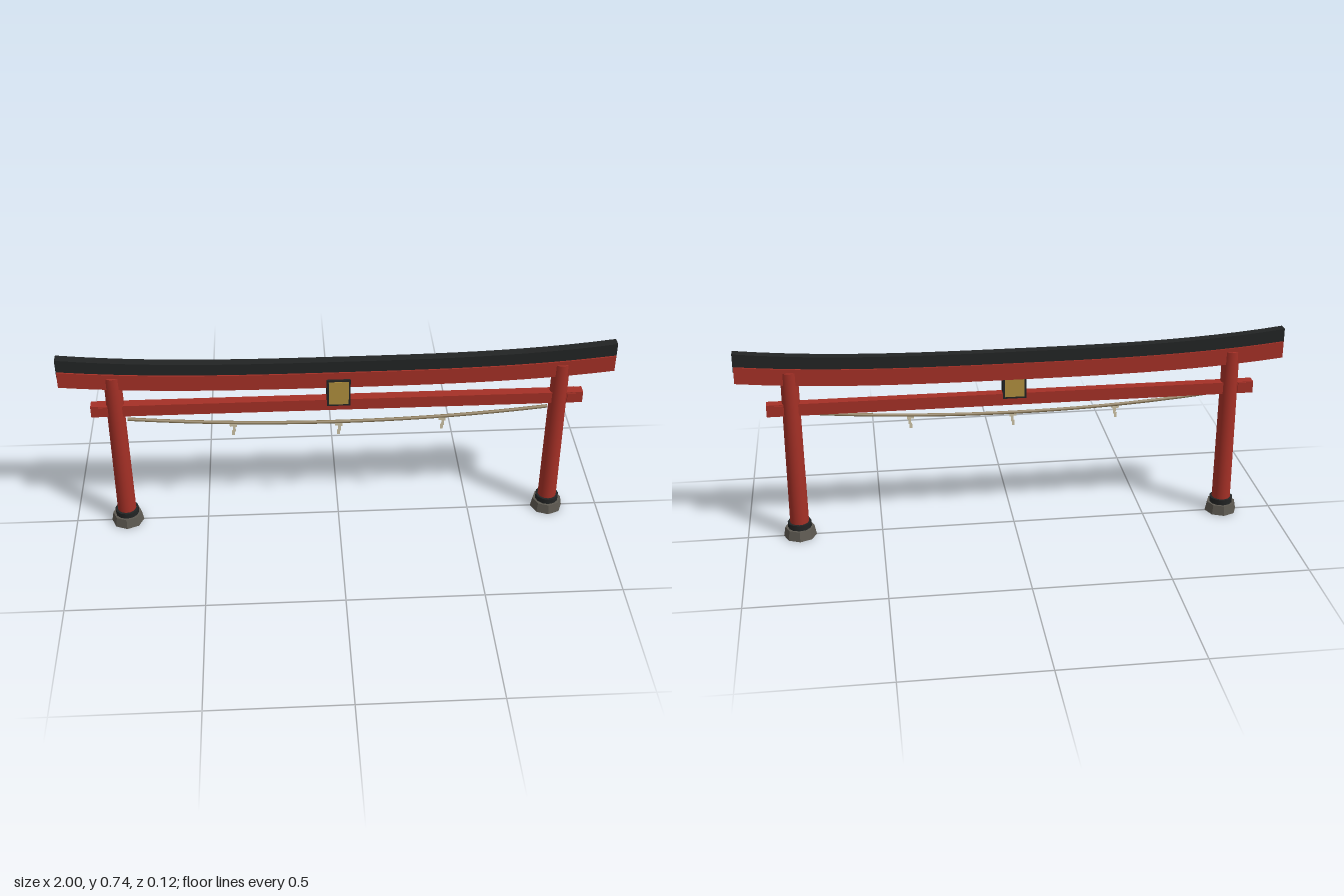
import * as THREE from 'three';

const mat = (name, color, opts = {}) => {
  const m = new THREE.MeshStandardMaterial({ color, ...opts });
  m.name = name;
  return m;
};

export function createModel() {
  const red = mat('vermilion', 0xa53026);
  const black = mat('black', 0x222424);
  const stone = mat('stone', 0x5c5850);
  const stoneFlat = stone;
  stoneFlat.flatShading = true;
  const gold = mat('gold', 0xb08f3e);
  const straw = mat('straw', 0x8c7a58);
  const paper = mat('paper', 0xcfc5a8);

  const gate = new THREE.Group();
  gate.name = 'gate';

  const add = (name, geometry, material, x = 0, y = 0, z = 0, parent = gate) => {
    const mesh = new THREE.Mesh(geometry, material);
    mesh.name = name;
    mesh.position.set(x, y, z);
    parent.add(mesh);
    return mesh;
  };

  // Beam whose ends sweep upwards
  const sweptBeam = (length, bottom, height, depth, rise) => {
    const g = new THREE.BoxGeometry(length, height, depth, 24, 1, 1);
    const p = g.attributes.position;
    for (let i = 0; i < p.count; i++) {
      const t = Math.abs(p.getX(i));
      p.setY(i, p.getY(i) + bottom + height / 2 + rise * t ** 3);
    }
    g.computeVertexNormals();
    return g;
  };
  add('topBeam', sweptBeam(2, 0.63, 0.07, 0.035, 0.04), black);
  add('underBeam', sweptBeam(1.996, 0.594, 0.062, 0.046, 0.036), red);

  // Pillars with footing, collar and wedges
  for (const [side, s] of [['left', 1], ['right', -1]]) {
    const pillar = new THREE.Group();
    pillar.name = side + 'Pillar';
    pillar.position.x = s * 0.807;
    gate.add(pillar);
    add('footing', new THREE.CylinderGeometry(0.054, 0.061, 0.037, 8), stone, 0, 0.0185, 0, pillar);
    add('collar', new THREE.CylinderGeometry(0.044, 0.044, 0.022, 12), black, 0, 0.047, 0, pillar);
    add('post', new THREE.CylinderGeometry(0.0315, 0.035, 0.605, 16), red, 0, 0.3575, 0, pillar);
    add('wedge', new THREE.BoxGeometry(0.03, 0.036, 0.047), red, s * 0.045, 0.518, 0, pillar);
  }

  // Straight tie beam through the pillars
  add('tieBeam', new THREE.BoxGeometry(1.79, 0.045, 0.037), red, 0, 0.516, 0);

  // Central plaque, panel showing on both faces
  add('plaqueFrame', new THREE.BoxGeometry(0.086, 0.11, 0.05), black, 0, 0.574, 0.005);
  add('plaquePanel', new THREE.BoxGeometry(0.072, 0.096, 0.053), gold, 0, 0.574, 0.005);

  // Sagging rope along the front
  const ropeZ = 0.024;
  const ropeY = x => 0.445 + 0.04 * (x / 0.765) ** 2;
  const ropePoints = [];
  for (let i = -6; i <= 6; i++) {
    const x = (i / 6) * 0.765;
    ropePoints.push(new THREE.Vector3(x, ropeY(x), ropeZ));
  }
  const curve = new THREE.CatmullRomCurve3(ropePoints);
  add('rope', new THREE.TubeGeometry(curve, 36, 0.0065, 8), straw);
  for (const s of [1, -1]) {
    const cap = add('ropeEnd', new THREE.CircleGeometry(0.0065, 8), straw, s * 0.765, ropeY(0.765), ropeZ);
    cap.rotation.y = s * Math.PI / 2;
  }

  // Folded paper streamers
  const zigzag = new THREE.Shape([
    [-0.013, 0.004], [0.013, 0.004], [0.013, -0.014], [0.008, -0.014], [0.008, -0.034],
    [0.004, -0.034], [0.004, -0.05], [-0.006, -0.05], [-0.006, -0.03], [-0.002, -0.03],
    [-0.002, -0.012], [-0.013, -0.012],
  ].map(([x, y]) => new THREE.Vector2(x, y)));
  const streamer = new THREE.ExtrudeGeometry(zigzag, { depth: 0.004, bevelEnabled: false });
  for (const x of [-0.385, 0, 0.38]) {
    add('streamer', streamer, paper, x, ropeY(x) - 0.003, ropeZ + 0.001);
  }

  return gate;
}
